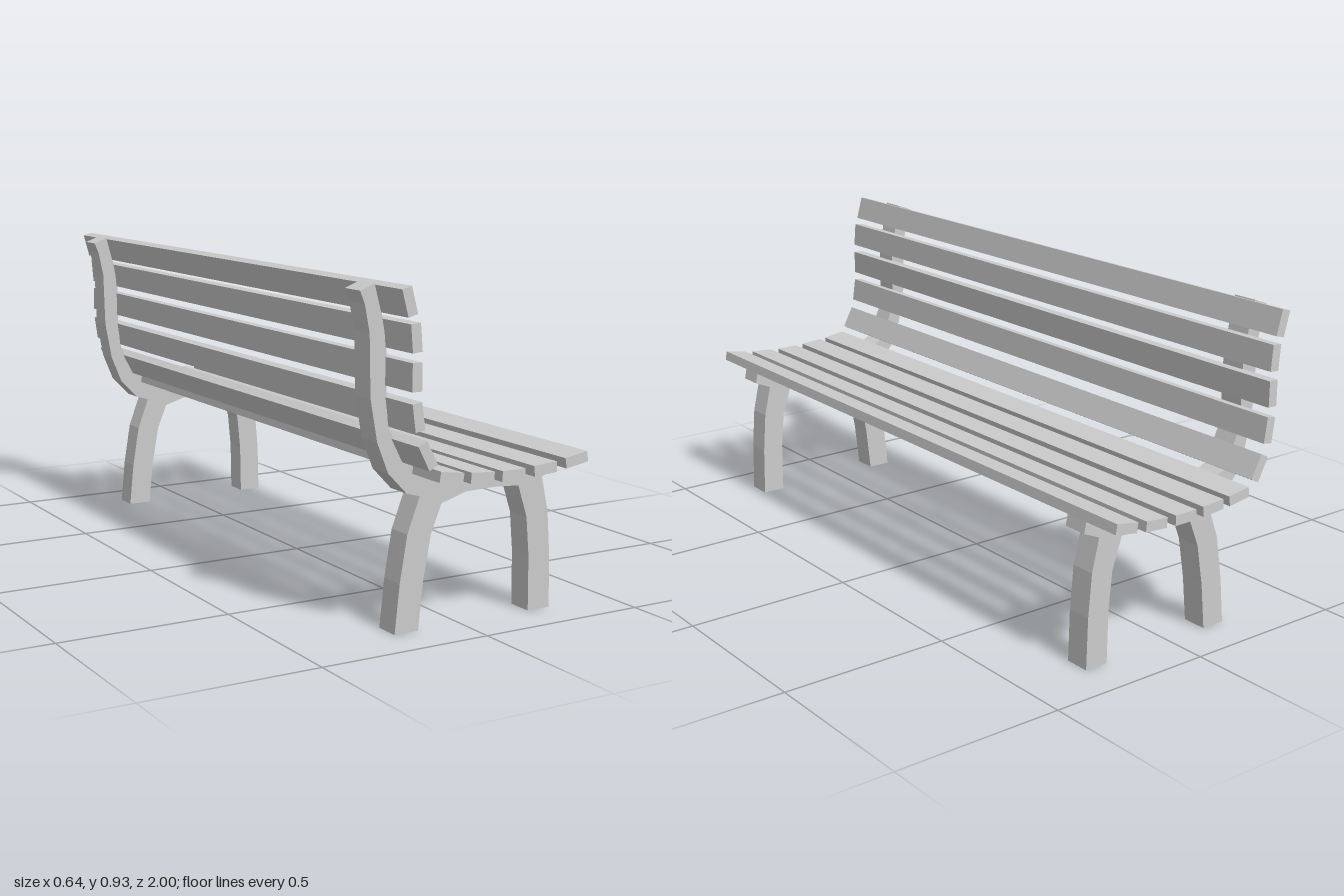
import * as THREE from 'three';

const material = new THREE.MeshStandardMaterial({ color: 0xcccccc, flatShading: true });

// Side outline of one support: back post, seat rail and two splayed legs
const outline = [
  // rear of the back post, top to bottom
  [-0.32, 0.908], [-0.306, 0.874], [-0.291, 0.8], [-0.287, 0.633], [-0.266, 0.518],
  [-0.232, 0.434], [-0.175, 0.375], [-0.134, 0.363],
  // rear leg
  [-0.171, 0.265], [-0.193, 0.135], [-0.207, 0], [-0.134, 0], [-0.119, 0.137],
  [-0.097, 0.258], [-0.065, 0.336],
  // underside of the seat rail
  [0.011, 0.359], [0.102, 0.361], [0.185, 0.356],
  // front leg
  [0.215, 0.265], [0.225, 0.155], [0.227, 0], [0.299, 0], [0.296, 0.15],
  [0.286, 0.275], [0.264, 0.371],
  // top of the seat rail, front to rear
  [0.316, 0.393], [0.308, 0.432], [0.212, 0.417], [0.112, 0.41], [0.038, 0.41],
  [-0.065, 0.417], [-0.155, 0.446], [-0.188, 0.461],
  // front of the back post, bottom to top
  [-0.217, 0.523], [-0.234, 0.562], [-0.24, 0.633], [-0.238, 0.7], [-0.241, 0.768],
  [-0.256, 0.849], [-0.274, 0.925],
];

// Slat centres and tilts in degrees: [x, y, tilt]
const seatSlats = [
  [-0.12, 0.434, -9], [-0.024, 0.424, -4], [0.075, 0.42, 0], [0.178, 0.425, 4], [0.281, 0.439, 9.5],
];
const backSlats = [
  [-0.253, 0.889, 15], [-0.232, 0.798, 5], [-0.229, 0.7, 0], [-0.223, 0.599, 8], [-0.193, 0.498, 27.5],
];

const SLAT_WIDTH = 0.073, SLAT_THICKNESS = 0.029, SUPPORT_DEPTH = 0.074, SUPPORT_Z = 0.839;

function addSlats(group, name, slats, width, height) {
  const geometry = new THREE.BoxGeometry(width, height, 2);
  slats.forEach(([x, y, tilt], i) => {
    const slat = new THREE.Mesh(geometry, material);
    slat.name = `${name}${i + 1}`;
    slat.position.set(x, y, 0);
    slat.rotation.z = THREE.MathUtils.degToRad(tilt);
    group.add(slat);
  });
}

export function createModel() {
  const bench = new THREE.Group();
  bench.name = 'bench';

  // Two matching end supports
  const shape = new THREE.Shape(outline.map(([x, y]) => new THREE.Vector2(x, y)));
  const supportGeometry = new THREE.ExtrudeGeometry(shape, { depth: SUPPORT_DEPTH, bevelEnabled: false });
  supportGeometry.translate(0, 0, -SUPPORT_DEPTH / 2);
  for (const side of [-1, 1]) {
    const support = new THREE.Mesh(supportGeometry, material);
    support.name = side < 0 ? 'rearEndSupport' : 'frontEndSupport';
    support.position.z = side * SUPPORT_Z;
    bench.add(support);
  }

  // Long slats following the curve of the seat and backrest
  addSlats(bench, 'seatSlat', seatSlats, SLAT_WIDTH, SLAT_THICKNESS);
  addSlats(bench, 'backSlat', backSlats, SLAT_THICKNESS, SLAT_WIDTH);

  return bench;
}
